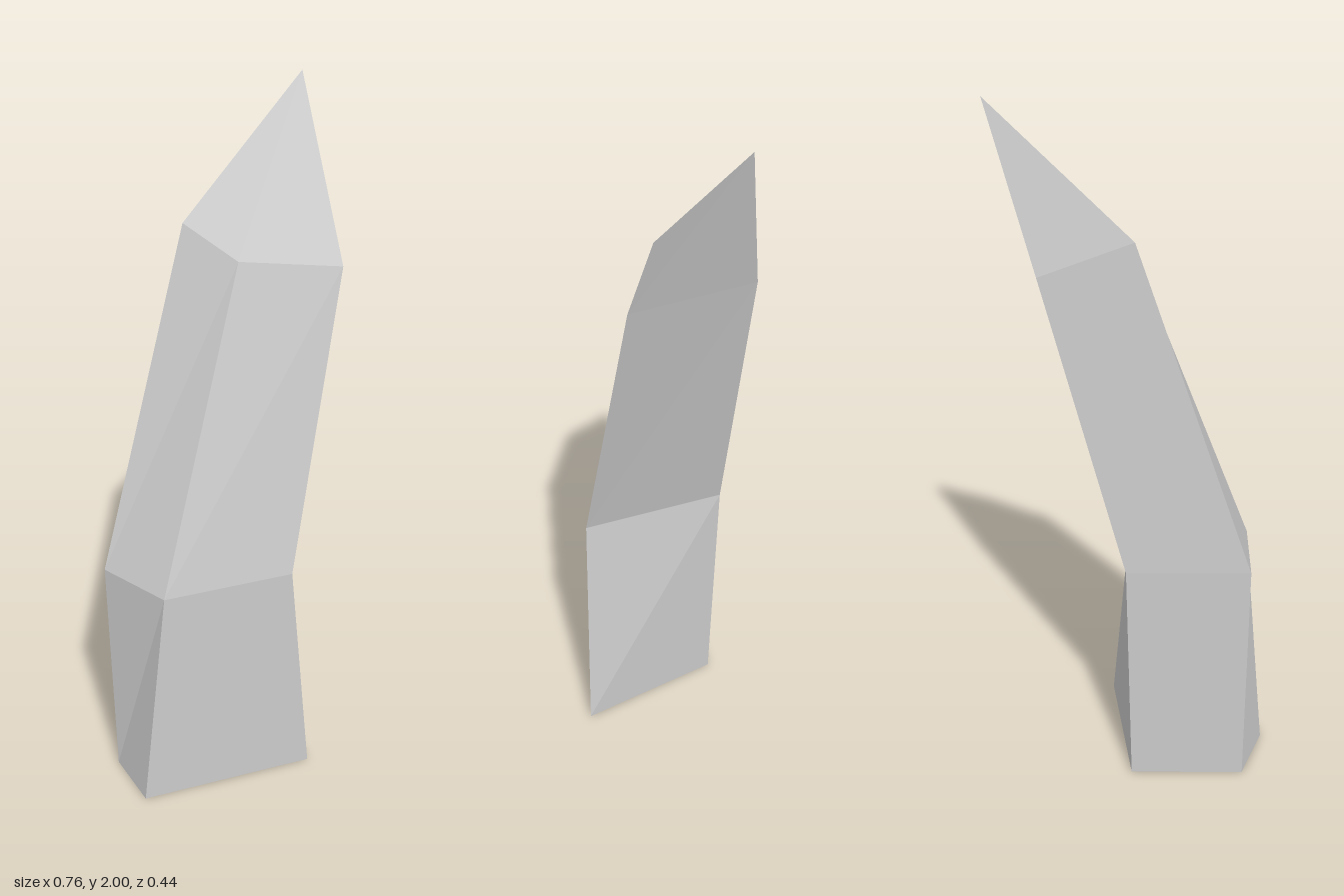
import * as THREE from 'three';

// Four-cornered cross-sections from base to shoulder:
// back -x, front -x, front +x, back +x
const sections = [
  [[-0.315, 0, -0.205], [-0.38, 0, -0.03], [0.07, 0, 0.22], [0.01, 0, -0.205]],
  [[-0.32, 0.7, -0.22], [-0.32, 0.7, 0.01], [0.01, 0.7, 0.195], [0.025, 0.7, -0.22]],
  [[0, 1.655, -0.193], [0.015, 1.59, -0.01], [0.245, 1.55, 0.16], [0.25, 1.56, -0.193]],
];
const tip = [0.38, 2, -0.1];

function buildSpike() {
  const positions = [];
  const triangle = (...corners) => corners.forEach((p) => positions.push(...p));

  // Side walls between neighbouring sections
  for (let s = 0; s < sections.length - 1; s++) {
    const low = sections[s], high = sections[s + 1];
    for (let i = 0; i < 4; i++) {
      const j = (i + 1) % 4;
      triangle(low[i], low[j], high[j]);
      triangle(low[i], high[j], high[i]);
    }
  }

  // Pointed end
  const shoulder = sections[sections.length - 1];
  for (let i = 0; i < 4; i++) triangle(shoulder[i], shoulder[(i + 1) % 4], tip);

  // Flat base
  const [a, b, c, d] = sections[0];
  triangle(a, d, c);
  triangle(a, c, b);

  const geometry = new THREE.BufferGeometry();
  geometry.setAttribute('position', new THREE.Float32BufferAttribute(positions, 3));
  geometry.computeVertexNormals();
  return geometry;
}

export function createModel() {
  const group = new THREE.Group();
  group.name = 'bentSpike';
  const material = new THREE.MeshStandardMaterial({ color: 0xcccccc, flatShading: true });
  const spike = new THREE.Mesh(buildSpike(), material);
  spike.name = 'spike';
  group.add(spike);
  return group;
}
